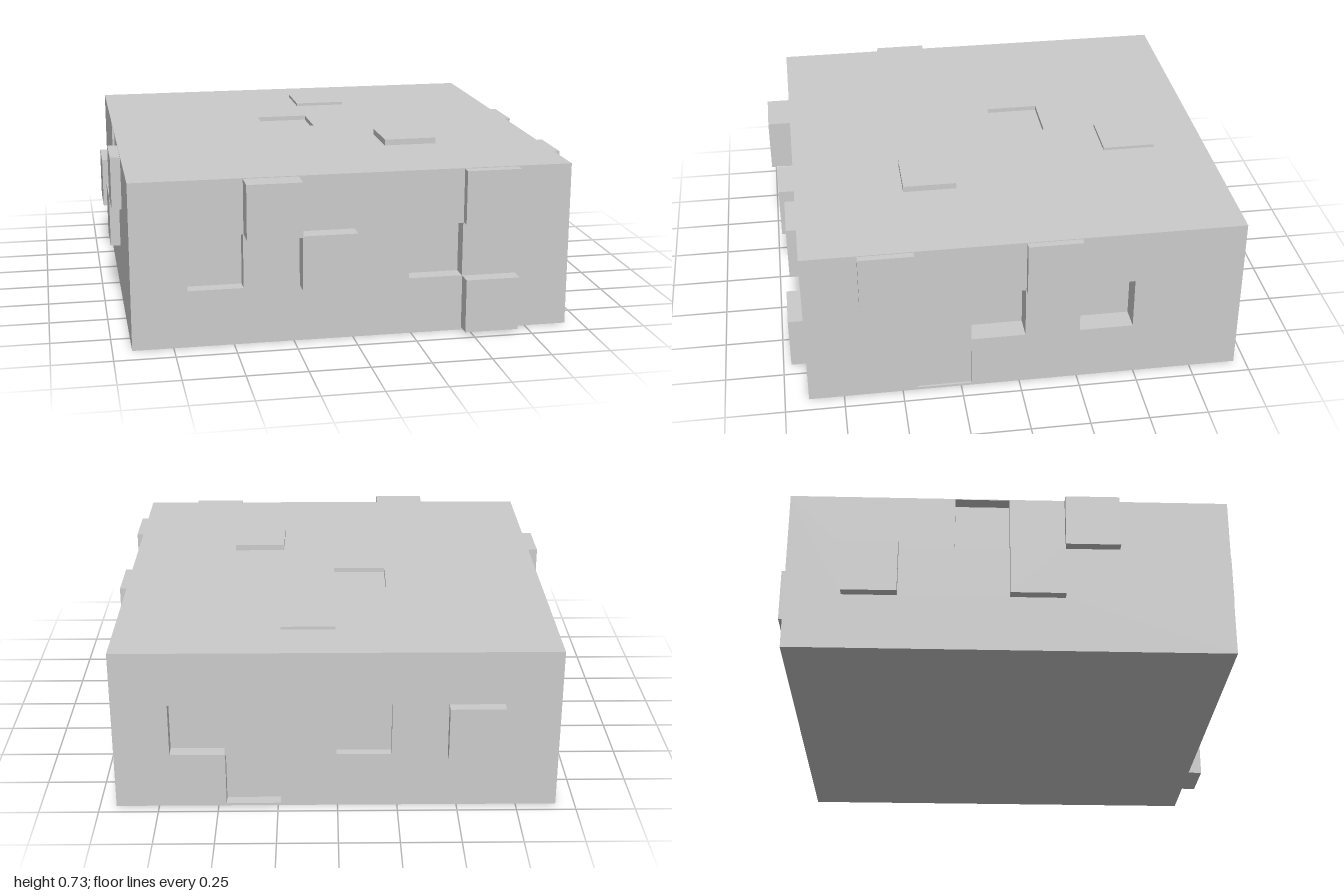
import * as THREE from 'three';

const SIZE = 1.85;        // width and depth of the block
const HEIGHT = 0.706;
const CELL = SIZE / 8;    // the faces share a square grid
const CX = 0.005, CZ = -0.026;
const GAP = 0.001;        // keeps diagonal neighbours apart

const material = new THREE.MeshStandardMaterial({ color: 0xcccccc, flatShading: true });

function rectangle(path, x, y, w, h) {
  path.moveTo(x, y);
  path.lineTo(x + w, y);
  path.lineTo(x + w, y + h);
  path.lineTo(x, y + h);
  path.closePath();
  return path;
}

// Box without its back: a raised tile, or turned inside out, a recess
function tile(depth) {
  const side = CELL - 2 * GAP;
  const geometry = new THREE.BoxGeometry(side, side, Math.abs(depth));
  geometry.setIndex(Array.from(geometry.index.array).slice(0, 30));
  if (depth < 0) geometry.scale(-1, -1, -1);
  const mesh = new THREE.Mesh(geometry, material);
  mesh.name = depth > 0 ? 'raisedTile' : 'recess';
  return mesh;
}

// Face panel in local xy, facing +z; tiles are [column, row, depth] from lower left
function face(name, height, base, tiles) {
  const group = new THREE.Group();
  group.name = name;
  const shape = rectangle(new THREE.Shape(), -SIZE / 2, 0, SIZE, height);
  for (const [col, row, depth] of tiles) {
    const x = -SIZE / 2 + col * CELL, y = base + row * CELL;
    shape.holes.push(rectangle(new THREE.Path(), x + GAP, y + GAP, CELL - 2 * GAP, CELL - 2 * GAP));
    const mesh = tile(depth);
    mesh.position.set(x + CELL / 2, y + CELL / 2, depth / 2);
    group.add(mesh);
  }
  const panel = new THREE.Mesh(new THREE.ShapeGeometry(shape), material);
  panel.name = 'panel';
  group.add(panel);
  return group;
}

export function createModel() {
  const model = new THREE.Group();
  model.name = 'tiledBlock';

  // Four walls, each turned about the block's centre
  const walls = [
    ['frontWall', 0, [[1, 1, -0.06], [2, 2, 0.1], [3, 1, 0.075], [5, 1, -0.07], [6, 2, 0.042], [6, 0, 0.067]]],
    ['leftWall', Math.PI / 2, [[1, 2, 0.03], [2, 0, -0.01], [3, 1, -0.1], [4, 2, 0.03], [5, 1, -0.1]]],
    ['backWall', Math.PI, [[1, 1, -0.06], [2, 0, -0.05], [4, 1, -0.04], [6, 1, 0.048]]],
    ['rightWall', -Math.PI / 2, [[1, 1, 0.043], [3, 2, -0.06], [4, 1, 0.043], [5, 2, 0.043]]],
  ];
  for (const [name, angle, tiles] of walls) {
    const wall = face(name, HEIGHT, 0.01, tiles);
    wall.rotation.y = angle;
    wall.position.set(CX + Math.sin(angle) * SIZE / 2, 0, CZ + Math.cos(angle) * SIZE / 2);
    model.add(wall);
  }

  // Top with two raised tiles and a shallow recess
  const top = face('top', SIZE, 0, [[3, 4, -0.02], [4, 6, 0.013], [5, 2, 0.026]]);
  top.rotation.x = -Math.PI / 2;
  top.position.set(CX, HEIGHT, CZ + SIZE / 2);
  model.add(top);

  // Plain underside
  const bottom = face('bottom', SIZE, 0, []);
  bottom.rotation.x = Math.PI / 2;
  bottom.position.set(CX, 0, CZ - SIZE / 2);
  model.add(bottom);

  return model;
}
